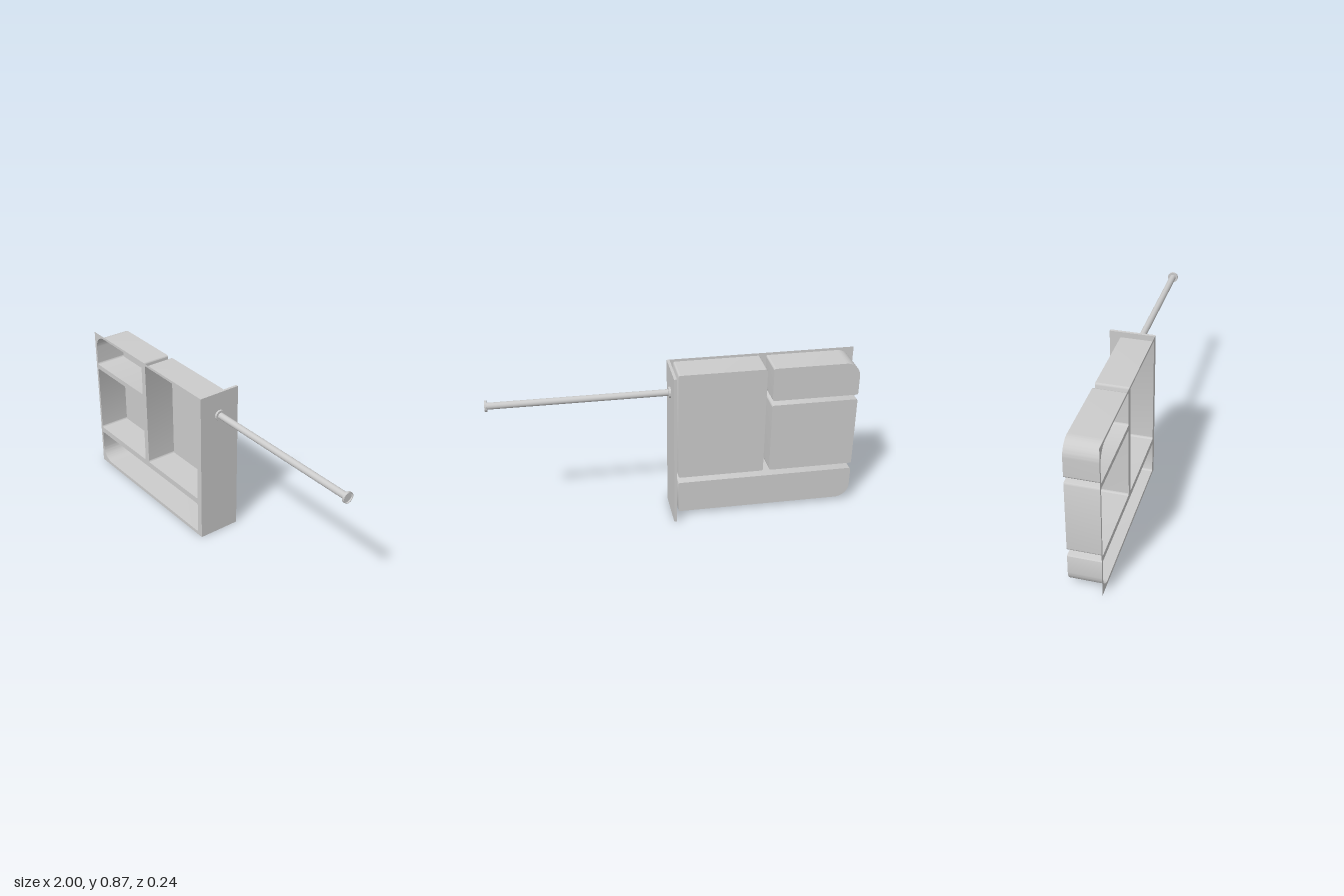
import * as THREE from 'three';
import { toCreasedNormals } from 'three/addons/utils/BufferGeometryUtils.js';

const FRONT = 0.122, BACK = -0.055, ROD_Y = 0.742;
const solid = new THREE.MeshStandardMaterial({ color: 0xcccccc });
const thin = new THREE.MeshStandardMaterial({ color: 0xcccccc, side: THREE.DoubleSide });

function addMesh(parent, name, geometry, material) {
  const mesh = new THREE.Mesh(geometry, material);
  mesh.name = name;
  parent.add(mesh);
  return mesh;
}

// Rounded rectangle; tl and bl are the radii of the two outer (-x) corners
function outline(Type, [x0, x1, y0, y1, tl = 0.01, bl = 0.01]) {
  const r = 0.01, p = new Type();
  p.moveTo(x0 + bl, y0);
  p.lineTo(x1 - r, y0);
  p.absarc(x1 - r, y0 + r, r, -Math.PI / 2, 0);
  p.lineTo(x1, y1 - r);
  p.absarc(x1 - r, y1 - r, r, 0, Math.PI / 2);
  p.lineTo(x0 + tl, y1);
  p.absarc(x0 + tl, y1 - tl, tl, Math.PI / 2, Math.PI);
  p.lineTo(x0, y0 + bl);
  p.absarc(x0 + bl, y0 + bl, bl, Math.PI, Math.PI * 1.5);
  return p;
}

// Thin wall following an outline from the back to the front plane
function wallGeometry(shape) {
  const pts = shape.getPoints(10);
  const pos = [];
  for (let i = 0; i < pts.length; i++) {
    const a = pts[i], b = pts[(i + 1) % pts.length];
    if (a.distanceTo(b) < 1e-6) continue;
    pos.push(a.x, a.y, BACK, b.x, b.y, BACK, b.x, b.y, FRONT);
    pos.push(a.x, a.y, BACK, b.x, b.y, FRONT, a.x, a.y, FRONT);
  }
  const g = new THREE.BufferGeometry();
  g.setAttribute('position', new THREE.Float32BufferAttribute(pos, 3));
  return toCreasedNormals(g, 0.5);
}

export function createModel() {
  const model = new THREE.Group();
  model.name = 'wallOrganizer';

  const trays = {
    topTray: [-0.985, -0.51, 0.67, 0.86, 0.08, 0.01],
    middleTray: [-0.985, -0.51, 0.24, 0.642],
    tallTray: [-0.475, 0, 0.24, 0.86],
    bottomTray: [-0.985, 0, 0.02, 0.206, 0.01, 0.08],
  };

  // Thin front plate with one opening per tray
  const plate = new THREE.Shape();
  plate.moveTo(-1, 0);
  plate.lineTo(0.02, 0);
  plate.lineTo(0.02, 0.874);
  plate.lineTo(-1, 0.874);
  plate.closePath();
  for (const size of Object.values(trays)) plate.holes.push(outline(THREE.Path, size));
  addMesh(model, 'frontPlate', new THREE.ShapeGeometry(plate, 10), thin).position.z = FRONT;

  // Open-fronted trays behind the plate
  for (const [name, size] of Object.entries(trays)) {
    const tray = new THREE.Group();
    tray.name = name;
    const shape = outline(THREE.Shape, size);
    addMesh(tray, name + 'Walls', wallGeometry(shape), thin);
    addMesh(tray, name + 'Back', new THREE.ShapeGeometry(shape, 10), thin).position.z = BACK;
    model.add(tray);
  }

  // Side panel, drilled for the rod socket
  const side = new THREE.Shape();
  side.moveTo(-0.122, 0);
  side.lineTo(0.122, 0);
  side.lineTo(0.122, 0.874);
  side.lineTo(-0.122, 0.874);
  side.closePath();
  side.holes.push(new THREE.Path().absarc(0, ROD_Y, 0.029, 0, Math.PI * 2, true));
  const panel = addMesh(model, 'sidePanel',
    new THREE.ExtrudeGeometry(side, { depth: 0.015, bevelEnabled: false, curveSegments: 24 }), solid);
  panel.rotation.y = Math.PI / 2;
  panel.position.x = 0.02;

  // Hanging rod with a cup at each end
  const rod = addMesh(model, 'rod', new THREE.CylinderGeometry(0.018, 0.018, 0.95, 32), solid);
  rod.rotation.z = -Math.PI / 2;
  rod.position.set(0.518, ROD_Y, 0);

  const profile = [[0, 0], [0.03, 0], [0.03, 0.012], [0.027, 0.012], [0.027, 0.004], [0, 0.004]]
    .map(([x, y]) => new THREE.Vector2(x, y));
  const cup = toCreasedNormals(new THREE.LatheGeometry(profile, 32), 0.5);
  for (const [name, x, turn] of [['innerCup', 0.047, 1], ['outerCup', 0.988, -1]]) {
    const mesh = addMesh(model, name, cup, thin);
    mesh.rotation.z = turn * Math.PI / 2;
    mesh.position.set(x, ROD_Y, 0);
  }
  return model;
}
